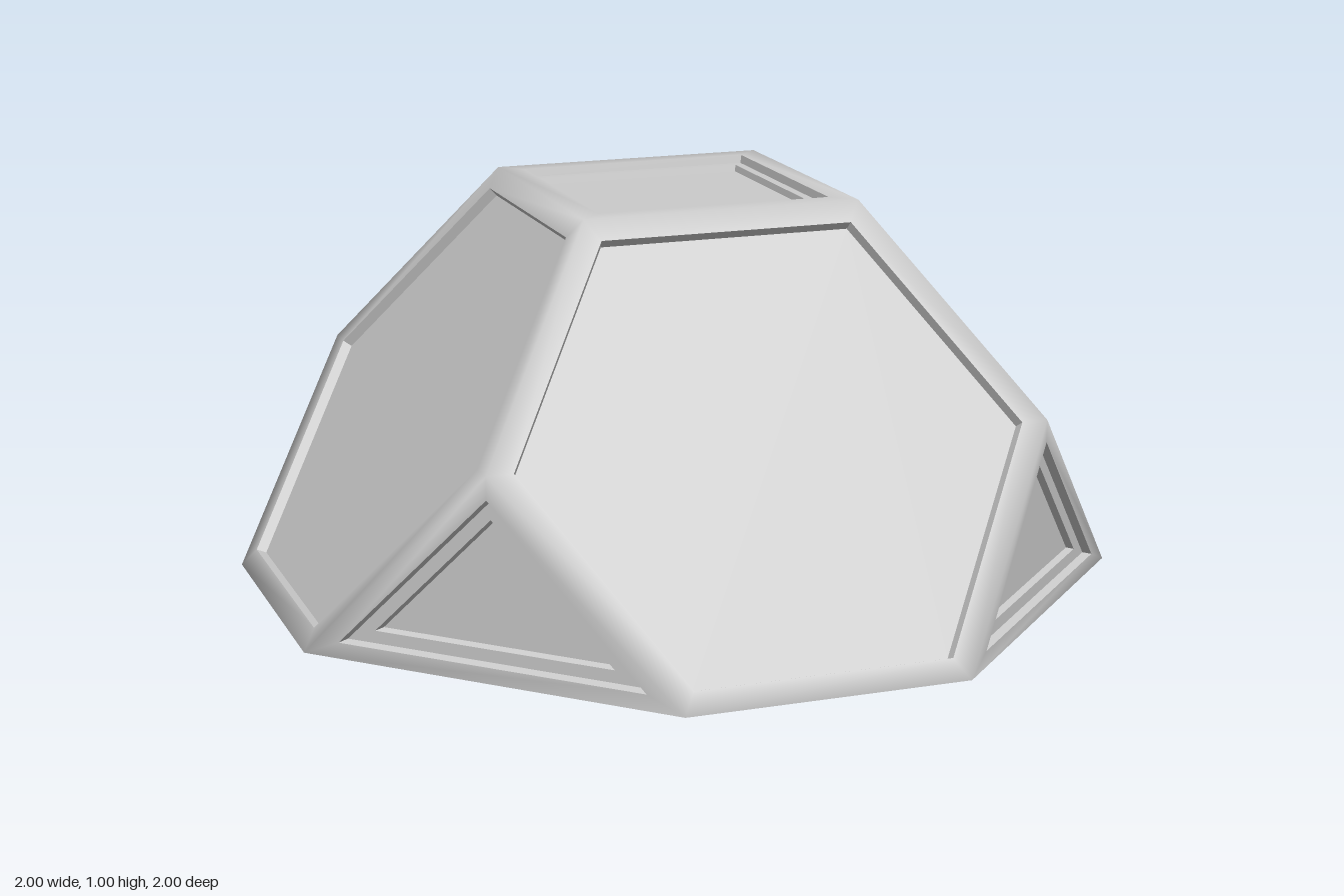
import * as THREE from 'three';

const V = (x, y, z) => new THREE.Vector3(x, y, z);
const material = new THREE.MeshStandardMaterial({ color: 0xcccccc });

// Collects triangles with explicit normals into one mesh
class Builder {
  constructor() { this.pos = []; this.nor = []; }
  tri(pts, normals) {
    const flat = pts[1].clone().sub(pts[0]).cross(pts[2].clone().sub(pts[0])).normalize();
    pts.forEach((p, i) => {
      this.pos.push(p.x, p.y, p.z);
      const n = normals ? normals[i] : flat;
      this.nor.push(n.x, n.y, n.z);
    });
  }
  quad(a, b, c, d, n) {
    this.tri([a, b, c], n && [n[0], n[1], n[2]]);
    this.tri([a, c, d], n && [n[0], n[2], n[3]]);
  }
  fan(poly) {
    for (let i = 1; i < poly.length - 1; i++) this.tri([poly[0], poly[i], poly[i + 1]]);
  }
  mesh(name) {
    const g = new THREE.BufferGeometry();
    g.setAttribute('position', new THREE.Float32BufferAttribute(this.pos, 3));
    g.setAttribute('normal', new THREE.Float32BufferAttribute(this.nor, 3));
    const m = new THREE.Mesh(g, material);
    m.name = name;
    return m;
  }
}

// Orders a face's corners anticlockwise about its outward normal
function sortCorners(points, n) {
  const c = points.reduce((s, p) => s.add(p), V(0, 0, 0)).divideScalar(points.length);
  const u = points[0].clone().sub(c).normalize();
  const v = n.clone().cross(u);
  const angle = (p) => Math.atan2(p.clone().sub(c).dot(v), p.clone().sub(c).dot(u));
  return [...points].sort((a, b) => angle(a) - angle(b));
}

// Moves every side inward by d and the whole outline down by depth
function inset(poly, n, d, depth) {
  const k = poly.length;
  const inward = poly.map((p, i) => n.clone().cross(poly[(i + 1) % k].clone().sub(p).normalize()));
  return poly.map((p, i) => {
    const a = inward[(i + k - 1) % k], b = inward[i];
    return p.clone().addScaledVector(a.clone().add(b), d / (1 + a.dot(b))).addScaledVector(n, -depth);
  });
}

// One facet: softly rounded border, stepped recess, flat panel
function facet(name, poly, n, steps) {
  const group = new THREE.Group();
  group.name = name;
  const frame = new Builder(), panel = new Builder();
  const k = poly.length;
  let ring = poly;
  steps.forEach(([d, depth], s) => {
    const next = inset(poly, n, d, depth);
    for (let i = 0; i < k; i++) {
      const j = (i + 1) % k;
      // the border blends from the ridge normal to the facet normal
      const ridge = (p) => p.clone().normalize();
      const normals = s === 0 ? [ridge(poly[i]), ridge(poly[j]), n, n] : null;
      frame.quad(ring[i], ring[j], next[j], next[i], normals);
    }
    ring = next;
  });
  panel.fan(ring);
  group.add(frame.mesh('frame'), panel.mesh('panel'));
  return group;
}

export function createModel() {
  const model = new THREE.Group();
  model.name = 'facetedDome';
  const lining = new Builder();
  const wall = 0.95; // inner shell scale

  const addFacet = (name, points, n, steps) => {
    const poly = sortCorners(points, n);
    model.add(facet(name, poly, n, steps));
    lining.fan(poly.map((p) => p.clone().multiplyScalar(wall)).reverse());
  };

  // Four sloping hexagons
  const hexSteps = [[0.058, 0], [0.064, 0.025]];
  for (const sx of [1, -1]) for (const sz of [1, -1]) {
    const points = [
      V(0, 0.5, sz), V(0, 1, sz * 0.5), V(sx * 0.5, 1, 0),
      V(sx, 0.5, 0), V(sx, 0, sz * 0.5), V(sx * 0.5, 0, sz),
    ];
    addFacet('hexagonFacet', points, V(sx, 1, sz).normalize(), hexSteps);
  }

  // Top square with a double step
  addFacet('topSquare', [V(0.5, 1, 0), V(0, 1, 0.5), V(-0.5, 1, 0), V(0, 1, -0.5)], V(0, 1, 0),
    [[0.056, 0], [0.06, 0.02], [0.082, 0.02], [0.086, 0.036]]);

  // Four half squares standing on the ground
  for (let i = 0; i < 4; i++) {
    const turn = (p) => p.applyAxisAngle(V(0, 1, 0), i * Math.PI / 2);
    addFacet('sideTriangle', [V(0.5, 0, 1), V(0, 0.5, 1), V(-0.5, 0, 1)].map(turn), turn(V(0, 0, 1)),
      [[0.04, 0], [0.046, 0.02], [0.077, 0.02], [0.083, 0.036]]);
  }
  model.add(lining.mesh('innerShell'));

  // Flat rim closing the wall at the open base
  const rim = new Builder();
  const base = sortCorners([1, -1].flatMap((a) => [1, -1].flatMap((b) =>
    [V(a, 0, b * 0.5), V(a * 0.5, 0, b)])), V(0, -1, 0));
  const inner = base.map((p) => p.clone().multiplyScalar(wall));
  base.forEach((p, i) => {
    const j = (i + 1) % base.length;
    rim.quad(p, base[j], inner[j], inner[i]);
  });
  model.add(rim.mesh('baseRim'));
  return model;
}
